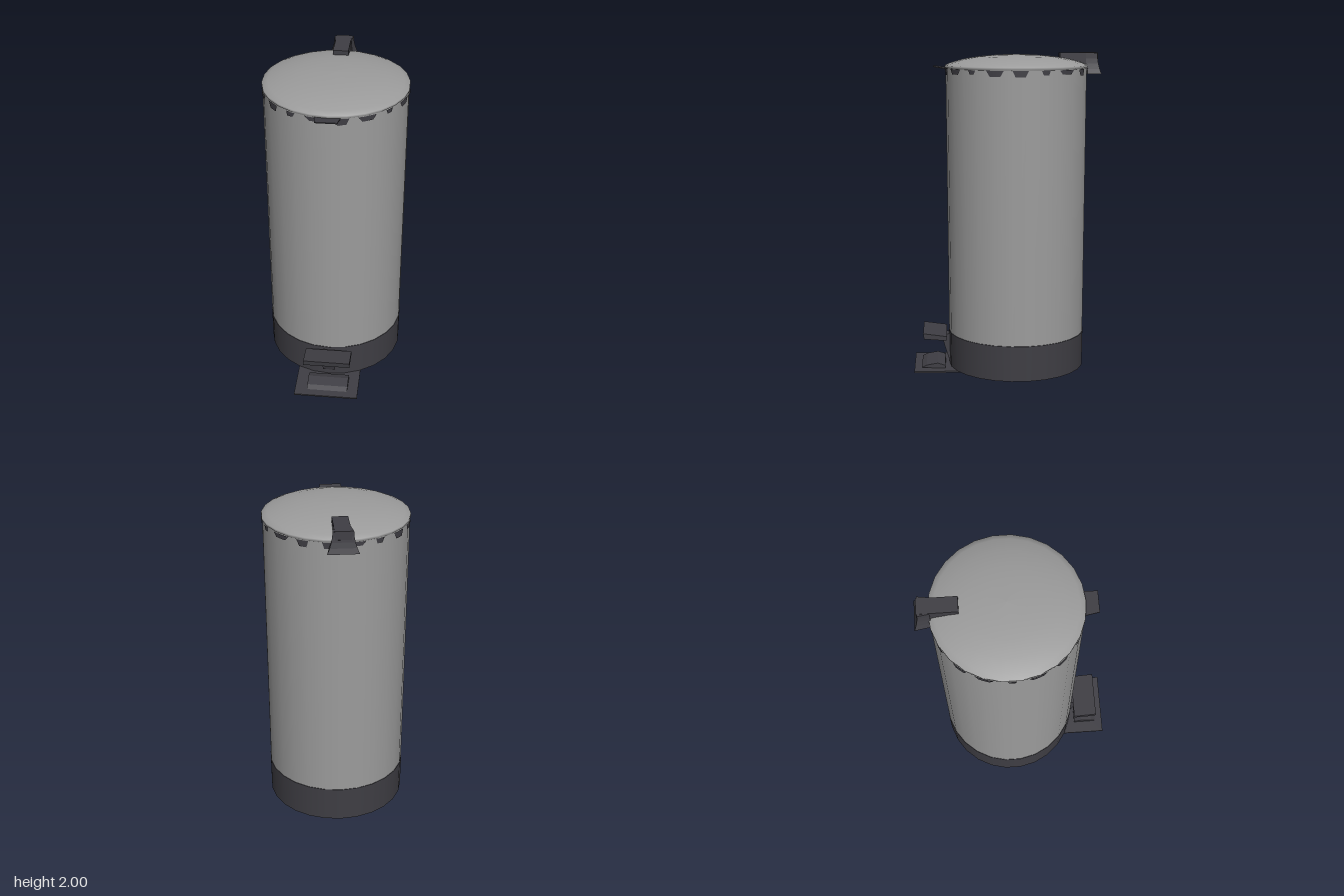
import * as THREE from 'three';

const steel = new THREE.MeshStandardMaterial({ color: 0x9c9c9c, side: THREE.DoubleSide });
steel.name = 'brushed steel';
const dark = new THREE.MeshStandardMaterial({ color: 0x3f3e44, side: THREE.DoubleSide });
dark.name = 'dark plastic';

const CZ = -0.066; // centre of the can in z
const SIDES = 26;

export function createModel() {
  const model = new THREE.Group();
  model.name = 'pedalBin';

  const add = (name, geometry, material, x = 0, y = 0, z = 0) => {
    const mesh = new THREE.Mesh(geometry, material);
    mesh.name = name;
    mesh.position.set(x, y, z);
    model.add(mesh);
    return mesh;
  };

  // Prism from a side profile of [z, y] points, centred on x
  const prism = (profile, width) => {
    const shape = new THREE.Shape(profile.map(([z, y]) => new THREE.Vector2(z, y)));
    const g = new THREE.ExtrudeGeometry(shape, { depth: width, bevelEnabled: false });
    g.translate(0, 0, -width / 2);
    g.rotateY(-Math.PI / 2);
    return g;
  };

  // Slightly flared can body
  add('body', new THREE.CylinderGeometry(0.44, 0.431, 1.675, SIDES, 1, true), steel, 0, 1.0725, CZ);

  // Dark foot with closed underside
  add('base', new THREE.CylinderGeometry(0.433, 0.43, 0.222, SIDES), dark, 0, 0.123, CZ);

  // Domed lid with a short lip
  const lidProfile = [
    [0.436, 1.905], [0.445, 1.912], [0.444, 1.925], [0.41, 1.94], [0.33, 1.962],
    [0.23, 1.978], [0.12, 1.987], [0, 1.99],
  ].map(([r, y]) => new THREE.Vector2(r, y));
  add('lid', new THREE.LatheGeometry(lidProfile, SIDES), steel, 0, 0, CZ);

  // Broken dark band below the lid, as thin tapered plates
  const count = 18;
  for (let i = 0; i < count; i++) {
    const mid = ((i + 0.5) / count) * Math.PI * 2;
    const width = 0.2 + 0.08 * Math.sin(i * 2.3);
    const height = 0.032 + 0.008 * Math.cos(i * 1.7);
    const g = new THREE.CylinderGeometry(0.444, 0.4435, height, 3, 1, true, -width / 2, width);
    const p = g.attributes.position;
    for (let k = 0; k < p.count; k++) {
      if (p.getY(k) > 0) continue;
      const a = Math.atan2(p.getX(k), p.getZ(k)) * 0.6 + 0.02 * Math.sin(i * 3.1);
      p.setXYZ(k, 0.4435 * Math.sin(a), p.getY(k), 0.4435 * Math.cos(a));
    }
    g.rotateY(mid);
    add('rimBand', g, dark, 0, 1.907 - height / 2, CZ);
  }

  // Thin lifting tab at the front of the lid
  const tab = new THREE.BoxGeometry(0.15, 0.006, 0.085);
  const tp = tab.attributes.position;
  for (let k = 0; k < tp.count; k++) if (tp.getZ(k) > 0) tp.setX(k, tp.getX(k) * 0.87);
  add('lidTab', tab, dark, -0.005, 1.911, 0.408).rotation.x = -0.16;

  // Hinge arm on the lid and the flared block behind it
  add('hingeArm', prism([
    [-0.335, 1.965], [-0.335, 2.0], [-0.57, 2.0], [-0.572, 1.95], [-0.5, 1.91],
  ], 0.095), dark);
  const block = new THREE.BoxGeometry(1, 1, 1, 1, 4, 1);
  const bp = block.attributes.position;
  for (let k = 0; k < bp.count; k++) {
    const t = bp.getY(k) + 0.5;
    const flare = (1 - t) * (1 - t);
    const back = bp.getZ(k) < 0;
    bp.setXYZ(k,
      Math.sign(bp.getX(k)) * (back ? 0.06 + 0.032 * flare : 0.05 + 0.026 * flare),
      1.87 + 0.128 * t,
      back ? -0.565 - 0.023 * flare : -0.495);
  }
  add('hingeBlock', block.toNonIndexed(), dark).geometry.computeVertexNormals();

  // Flat floor plate under the pedal
  add('floorPlate', prism([[0.2, 0.002], [0.587, 0.004], [0.587, 0.013], [0.2, 0.013]], 0.405), dark);

  // Low wedge on the plate
  add('plateWedge', prism([[0.39, 0.012], [0.54, 0.018], [0.51, 0.034], [0.44, 0.046], [0.39, 0.03]], 0.26), dark, 0.005);

  // Pedal stem and tilted pedal
  add('pedalStem', prism([[0.33, 0.05], [0.37, 0.05], [0.415, 0.2], [0.33, 0.22]], 0.08), dark);
  add('pedal', prism([[0.385, 0.198], [0.525, 0.198 - 0.012 + 0.024], [0.53, 0.246], [0.38, 0.225]].map(
    ([z, y]) => [z, y - 0.002]), 0.295), dark);

  return model;
}
